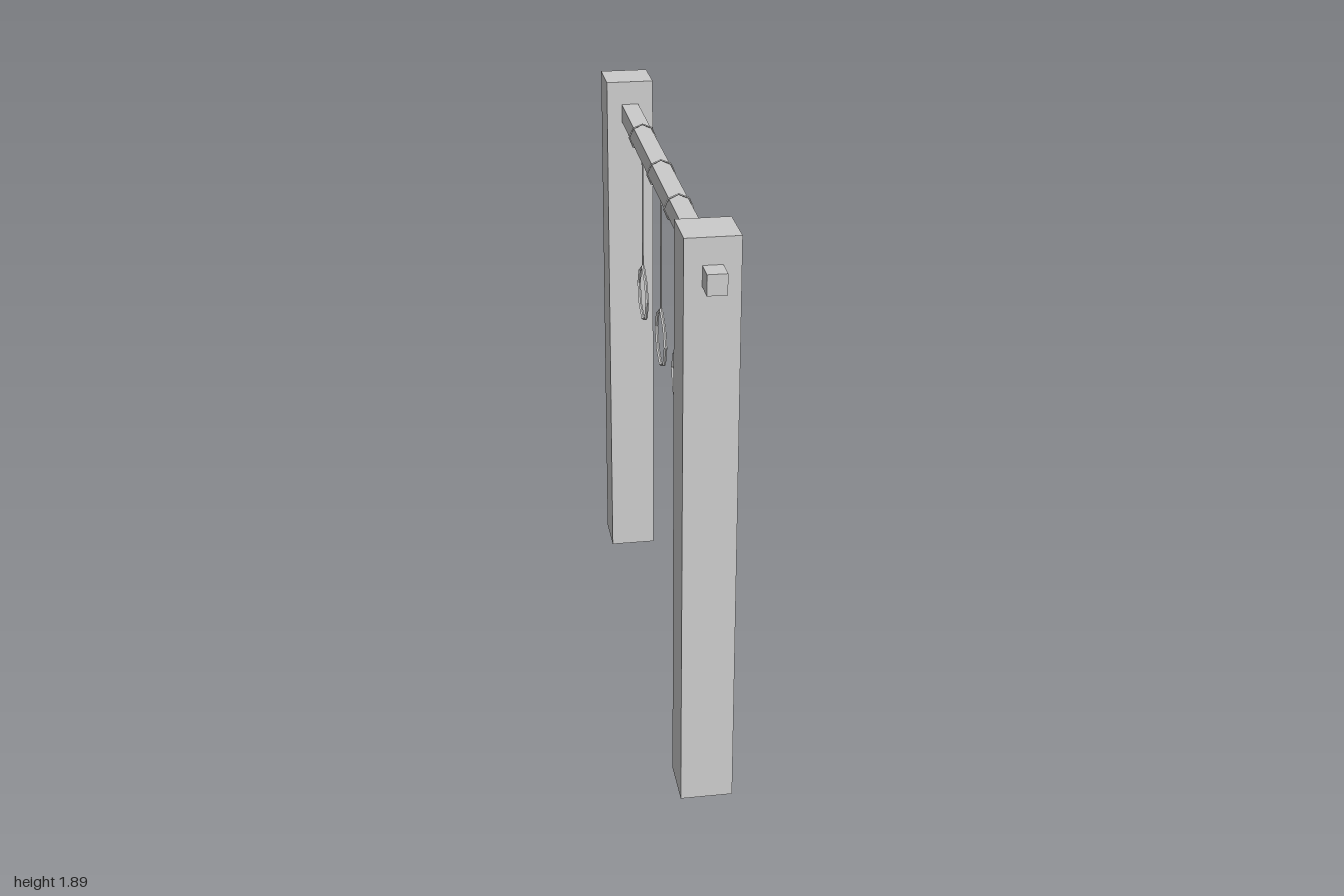
import * as THREE from 'three';

export function createModel() {
  const group = new THREE.Group();
  const material = new THREE.MeshStandardMaterial({ color: 0xcccccc, flatShading: true });

  const add = (parent, name, geometry, x, y, z) => {
    const mesh = new THREE.Mesh(geometry, material);
    mesh.name = name;
    mesh.position.set(x, y, z);
    parent.add(mesh);
    return mesh;
  };

  // Two square posts and the beam that runs through them
  const post = new THREE.BoxGeometry(0.167, 1.895, 0.167);
  add(group, 'frontPost', post, 0, 0.9475, 0.842);
  add(group, 'backPost', post, 0, 0.9475, -0.858);
  add(group, 'beam', new THREE.BoxGeometry(0.06, 0.064, 2), 0, 1.78, 0);

  // Eight-sided hand grip, its shoulders drawn in towards the rope
  const grip = new THREE.TorusGeometry(0.102, 0.006, 4, 8);
  grip.rotateY(Math.PI / 2);
  const pos = grip.attributes.position;
  for (let i = 0; i < pos.count; i++) {
    const y = pos.getY(i);
    if (y > 0.05 && y < 0.085) pos.setY(i, y - 0.012);
  }
  grip.computeVertexNormals();

  // Rope and the loop that ties it round the beam
  const rope = new THREE.CylinderGeometry(0.003, 0.003, 0.43, 6);
  const loop = new THREE.TorusGeometry(0.046, 0.003, 4, 8);

  for (const z of [0.326, -0.034, -0.459]) {
    const ring = new THREE.Group();
    ring.name = 'hangingRing';
    ring.position.z = z;
    add(ring, 'beamLoop', loop, 0, 1.78, 0);
    add(ring, 'rope', rope, 0, 1.519, 0);
    add(ring, 'grip', grip, 0, 1.202, 0);
    group.add(ring);
  }
  return group;
}
